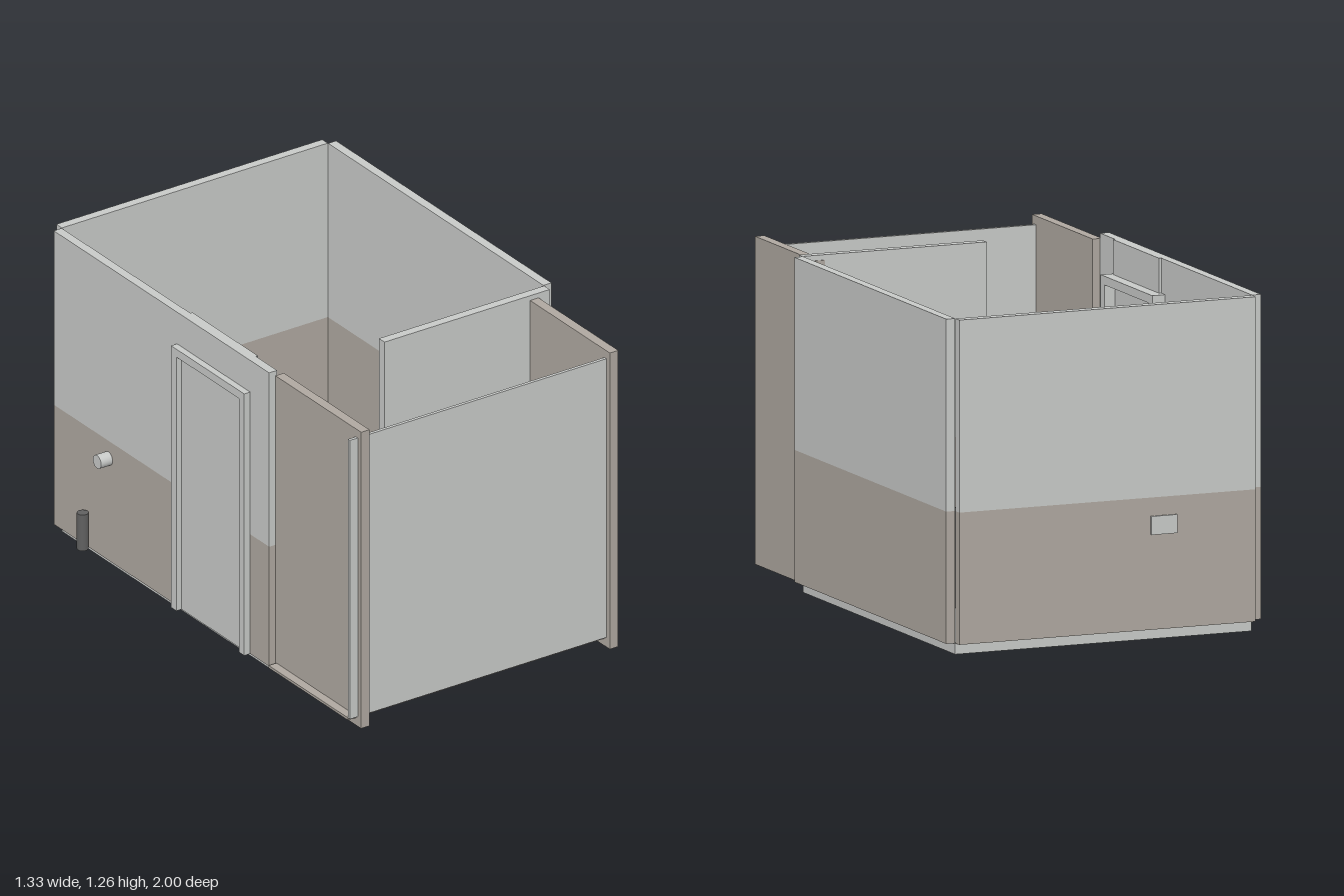
import * as THREE from 'three';

export function createModel() {
  const model = new THREE.Group();
  const make = (name, color) => {
    const m = new THREE.MeshStandardMaterial({ color });
    m.name = name;
    return m;
  };
  const light = make('light grey', 0xc8cac8);
  const brown = make('warm taupe', 0xafa8a0);
  const dark = make('dark grey', 0x606060);

  // Box from its min and max on each axis
  function box(name, mat, [x0, x1], [y0, y1], [z0, z1], parent = model) {
    const mesh = new THREE.Mesh(new THREE.BoxGeometry(x1 - x0, y1 - y0, z1 - z0), mat);
    mesh.position.set((x0 + x1) / 2, (y0 + y1) / 2, (z0 + z1) / 2);
    mesh.name = name;
    parent.add(mesh);
    return mesh;
  }
  function cylinder(name, mat, radius, length, x, y, z) {
    const mesh = new THREE.Mesh(new THREE.CylinderGeometry(radius, radius, length, 24), mat);
    mesh.position.set(x, y, z);
    mesh.name = name;
    model.add(mesh);
    return mesh;
  }

  // Room floor slab
  box('floorSlab', light, [-0.575, 0.625], [0, 0.042], [-0.955, 0.445]);

  // Two-tone room walls: taupe below, grey above
  const walls = {
    backWall: [[-0.575, 0.625], [-0.993, -0.957]],
    leftWall: [[-0.613, -0.577], [-0.955, 0.443]],
    rightWall: [[0.625, 0.661], [-0.955, 0.443]],
    frontWall: [[-0.12, 0.625], [0.447, 0.483]],
  };
  for (const [name, [x, z]] of Object.entries(walls)) {
    const wall = new THREE.Group();
    wall.name = name;
    box(name + 'Lower', brown, x, [0.042, 0.54], z, wall);
    box(name + 'Upper', light, x, [0.54, 1.265], z, wall);
    model.add(wall);
  }

  // Side door, with the frame standing proud on both faces
  box('sideDoor', light, [-0.617, -0.568], [0.042, 1.1], [-0.12, 0.29]);
  box('doorLintel', light, [-0.613, -0.568], [1.1, 1.265], [-0.12, 0.305]);
  const frame = new THREE.Group();
  frame.name = 'doorFrame';
  const frameX = [-0.64, -0.525];
  box('framePostBack', light, frameX, [0.042, 1.1], [-0.155, -0.12], frame);
  box('framePostFront', light, frameX, [0.042, 1.1], [0.285, 0.32], frame);
  box('frameHead', light, frameX, [1.1, 1.133], [-0.155, 0.32], frame);
  model.add(frame);

  // Front porch: floor, side walls, front panel and threshold
  box('porchFloor', brown, [-0.62, 0.537], [0.04, 0.05], [0.45, 0.965]);
  box('porchLeftWall', brown, [-0.585, -0.547], [0.01, 1.245], [0.443, 1]);
  box('porchRightWall', brown, [0.537, 0.575], [0.01, 1.245], [0.443, 1]);
  box('porchFrontPanel', light, [-0.62, 0.537], [0.05, 1.212], [0.965, 0.978]);
  box('threshold', light, [-0.565, -0.11], [0.042, 0.06], [0.434, 0.458]);
  box('wallBox', light, [-0.549, -0.505], [0.5, 0.72], [0.65, 0.81]);

  // Interior equipment
  box('cabinet', dark, [0.325, 0.625], [0.042, 0.42], [-0.29, 0.35]);
  for (const z of [-0.02, 0.2]) {
    box('cabinetKnob', dark, [0.31, 0.325], [0.25, 0.262], [z - 0.005, z + 0.005]);
  }
  box('counterUnit', light, [0.375, 0.578], [0.42, 0.54], [0.12, 0.365]);
  cylinder('tank', dark, 0.065, 0.4, 0.525, 0.242, -0.35);
  box('floorUnit', light, [-0.295, -0.108], [0.042, 0.26], [-0.885, -0.63]);

  // Outside fittings
  box('backPlate', light, [-0.255, -0.15], [0.4, 0.47], [-1, -0.992]);
  const vent = cylinder('ventPipe', light, 0.027, 0.055, -0.637, 0.467, -0.6);
  vent.rotation.z = Math.PI / 2;
  cylinder('drainPipe', dark, 0.022, 0.15, -0.637, 0.117, -0.733);

  return model;
}
